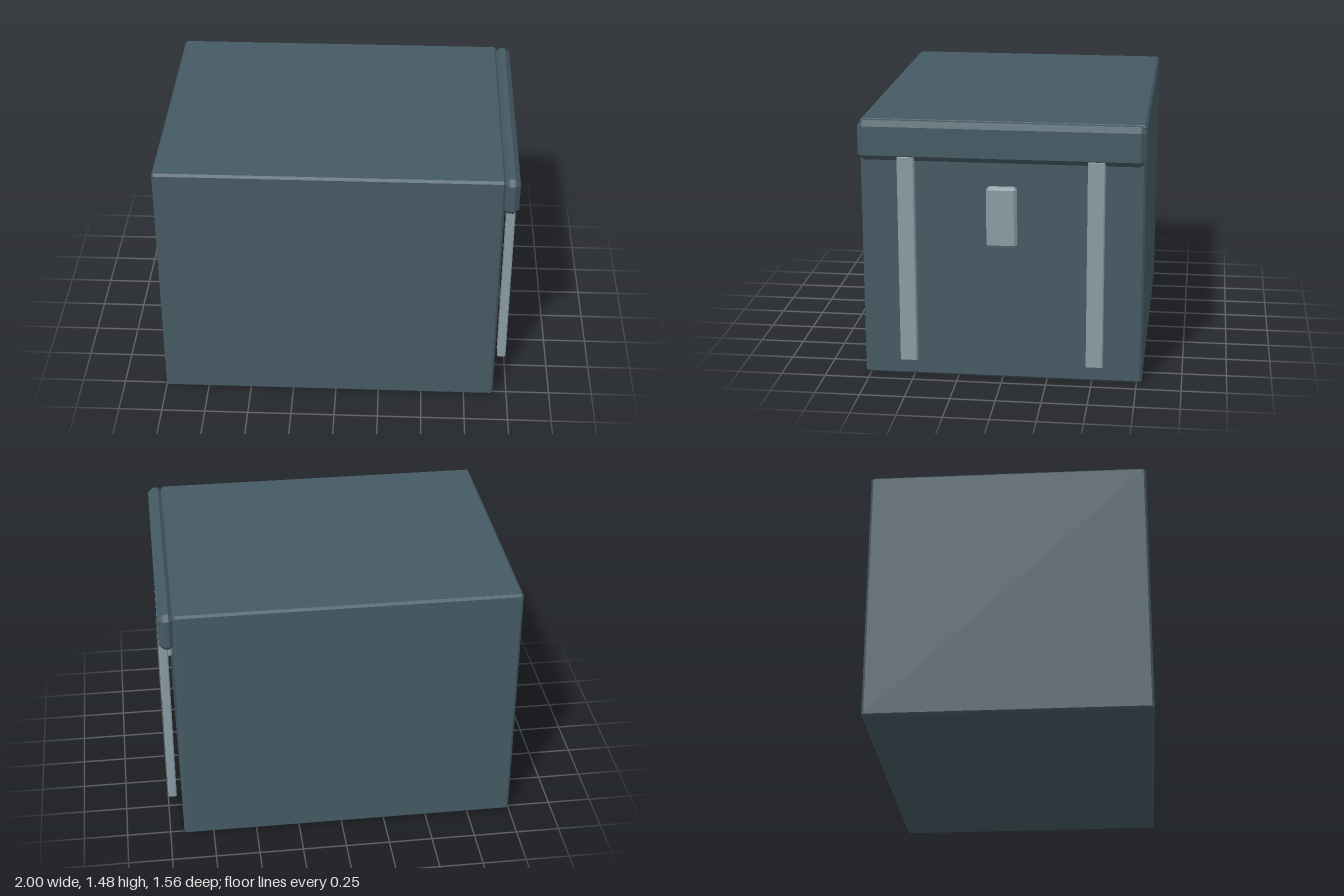
import * as THREE from 'three';
import { ConvexGeometry } from 'three/addons/geometries/ConvexGeometry.js';

// Box given by its min/max corners, with every edge cut by a flat chamfer c
function chamferBox(name, material, min, max, c) {
  const half = min.map((v, i) => (max[i] - v) / 2);
  const points = [];
  for (const sx of [-1, 1]) for (const sy of [-1, 1]) for (const sz of [-1, 1]) {
    for (let axis = 0; axis < 3; axis++) {
      const p = half.map((h, i) => (i === axis ? h : h - c));
      points.push(new THREE.Vector3(sx * p[0], sy * p[1], sz * p[2]));
    }
  }
  const mesh = new THREE.Mesh(new ConvexGeometry(points), material);
  mesh.position.set(...min.map((v, i) => (v + max[i]) / 2));
  mesh.name = name;
  return mesh;
}

export function createModel() {
  const group = new THREE.Group();
  group.name = 'cabinet';

  const shell = new THREE.MeshStandardMaterial({ color: 0x455a64 });
  shell.name = 'slate';
  const trim = new THREE.MeshStandardMaterial({ color: 0x8b9da5 });
  trim.name = 'lightGrey';

  // Main block and the overhanging lip along its +x side
  group.add(chamferBox('body', shell, [-1, 0, -0.78], [0.92, 1.476, 0.78], 0.013));
  group.add(chamferBox('lip', shell, [0.91, 1.26, -0.782], [1, 1.48, 0.782], 0.03));

  // Two upright rails hanging from the lip
  for (const [name, z] of [['leftRail', 0.518], ['rightRail', -0.518]]) {
    group.add(chamferBox(name, trim, [0.95, 0.11, z - 0.047], [0.999, 1.288, z + 0.047], 0.006));
  }

  // Latch plate between the rails
  group.add(chamferBox('latch', trim, [0.915, 0.778, -0.084], [0.965, 1.12, 0.084], 0.015));

  return group;
}
